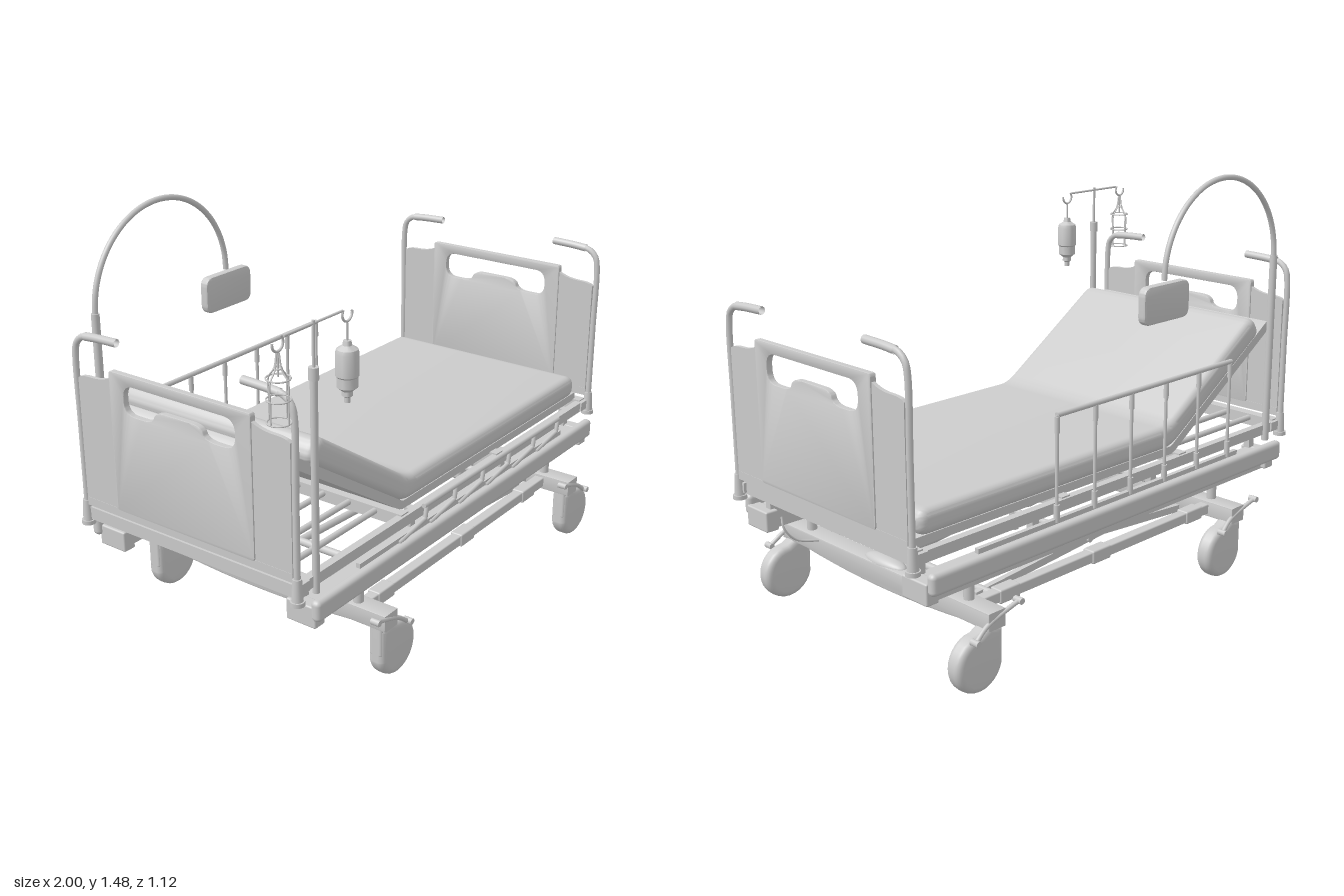
import * as THREE from 'three';
import { toCreasedNormals } from 'three/addons/utils/BufferGeometryUtils.js';
import { RoundedBoxGeometry } from 'three/addons/geometries/RoundedBoxGeometry.js';

const mat = new THREE.MeshStandardMaterial({ color: 0xcccccc, side: THREE.DoubleSide });
const V = (x, y, z) => new THREE.Vector3(x, y, z);

export function createModel() {
  const root = new THREE.Group();
  root.name = 'adjustableBed';

  const add = (name, geo, x = 0, y = 0, z = 0) => {
    const m = new THREE.Mesh(geo, mat);
    m.name = name;
    m.position.set(x, y, z);
    root.add(m);
    return m;
  };
  // Box given by its extents; r rounds the edges
  const box = (name, x0, x1, y0, y1, z0, z1, r = 0) => {
    const s = [x1 - x0, y1 - y0, z1 - z0];
    const g = r ? new RoundedBoxGeometry(...s, 3, r) : new THREE.BoxGeometry(...s);
    return add(name, g, (x0 + x1) / 2, (y0 + y1) / 2, (z0 + z1) / 2);
  };
  const cyl = (name, r, y0, y1, x, z, rTop = r) =>
    add(name, new THREE.CylinderGeometry(rTop, r, y1 - y0, 16), x, (y0 + y1) / 2, z);
  // Straight round rod between two points
  const rod = (name, a, b, r) => {
    const m = add(name, new THREE.CylinderGeometry(r, r, a.distanceTo(b), 10));
    m.position.copy(a).lerp(b, 0.5);
    m.quaternion.setFromUnitVectors(V(0, 1, 0), b.clone().sub(a).normalize());
    return m;
  };
  // Flat bar between two points of one z plane
  const bar = (name, a, b, h, d) => {
    const m = add(name, new THREE.BoxGeometry(a.distanceTo(b), h, d));
    m.position.copy(a).lerp(b, 0.5);
    m.rotation.z = Math.atan2(b.y - a.y, b.x - a.x);
    return m;
  };
  const tube = (name, pts, r, n = 32) =>
    add(name, new THREE.TubeGeometry(new THREE.CatmullRomCurve3(pts, false, 'centripetal'), n, r, 10));
  // Polygon with rounded corners
  const roundPoly = (pts, r, Type = THREE.Shape) => {
    const s = new Type();
    const P = pts.map(p => new THREE.Vector2(...p));
    P.forEach((p, i) => {
      const toward = q => q.clone().sub(p).setLength(Math.min(r, q.distanceTo(p) * 0.49)).add(p);
      const a = toward(P[(i + P.length - 1) % P.length]), b = toward(P[(i + 1) % P.length]);
      if (i) s.lineTo(a.x, a.y); else s.moveTo(a.x, a.y);
      s.quadraticCurveTo(p.x, p.y, b.x, b.y);
    });
    s.closePath();
    return s;
  };
  // Extrusion of total thickness t, centred on z
  const slab = (shape, t, bevel, seg = 2) => {
    const g = new THREE.ExtrudeGeometry(shape, { depth: t - 2 * bevel, bevelEnabled: bevel > 0,
      bevelSize: bevel, bevelThickness: bevel, bevelOffset: -bevel, bevelSegments: seg, curveSegments: 10 });
    g.translate(0, 0, bevel - t / 2);
    return toCreasedNormals(g, 0.6);
  };

  // Mattress and its platform, bent at the backrest hinge
  add('mattress', slab(roundPoly([[-0.28, 0.525], [0.91, 0.525], [0.91, 0.612], [-0.255, 0.612],
    [-0.742, 0.935], [-0.795, 0.86]], 0.045), 0.84, 0.03, 5));
  add('platform', slab(roundPoly([[-0.29, 0.5], [0.935, 0.5], [0.935, 0.53], [-0.28, 0.53],
    [-0.84, 0.897], [-0.865, 0.873]], 0.008), 0.82, 0));

  // Upper frame
  for (const [x0, x1] of [[-0.9, -0.86], [-0.33, -0.29], [0.28, 0.32], [0.92, 0.96]])
    box('frameCrossbar', x0, x1, 0.46, 0.505, -0.44, 0.44);
  for (let i = 0; i < 7; i++)
    rod('headSlat', V(-0.88, 0.49, -0.33 + i * 0.11), V(-0.3, 0.49, -0.33 + i * 0.11), 0.011);

  for (const s of [-1, 1]) {
    box('frameRail', -0.89, 0.94, 0.462, 0.5, s * 0.435 - 0.014, s * 0.435 + 0.014);
    box('sideBumper', -0.85, 0.93, 0.362, 0.435, s * 0.478 - 0.018, s * 0.478 + 0.018, 0.016);
    box('sideBeam', -0.83, 0.93, 0.327, 0.4, s * 0.415 - 0.035, s * 0.415 + 0.035);
    for (const x of [-0.81, 0.91])
      box('beamEndBlock', x - 0.025, x + 0.025, 0.328, 0.402, s * 0.412 - 0.058, s * 0.412 + 0.058, 0.006);
    for (const x of [-0.79, -0.2, 0.4, 0.89])
      box('framePost', x - 0.015, x + 0.015, 0.39, 0.47, s * 0.385 - 0.013, s * 0.385 + 0.013);
    box('guardTrack', -0.6, 0.72, 0.435, 0.452, s * 0.46 - 0.008, s * 0.46 + 0.008);
    tube('cable', [V(0.87, 0.37, s * 0.36), V(0.87, 0.33, s * 0.35), V(0.83, 0.28, s * 0.34), V(0.72, 0.25, s * 0.32)], 0.004);

    // Base rail with joint sleeves, and scissor lift
    box('baseRail', -0.55, 0.72, 0.217, 0.255, s * 0.41 - 0.02, s * 0.41 + 0.02, 0.005);
    for (const x of [-0.4, 0.11, 0.55])
      box('railSleeve', x - 0.045, x + 0.045, 0.212, 0.26, s * 0.41 - 0.025, s * 0.41 + 0.025, 0.006);
    bar('scissorLink', V(-0.42, 0.32, s * 0.36), V(0.64, 0.235, s * 0.36), 0.026, 0.02);
    bar('scissorLink', V(0.66, 0.32, s * 0.335), V(-0.42, 0.235, s * 0.335), 0.026, 0.02);
    for (const x of [-0.53, 0.71])
      cyl('liftPost', 0.018, 0.25, 0.34, x, s * 0.41);
  }
  rod('scissorAxle', V(0.11, 0.278, -0.38), V(0.11, 0.278, 0.38), 0.012);
  rod('lowerAxle', V(0.6, 0.24, -0.4), V(0.6, 0.24, 0.4), 0.014);
  rod('upperAxle', V(-0.4, 0.32, -0.4), V(-0.4, 0.32, 0.4), 0.014);
  rod('actuatorHousing', V(0.62, 0.25, 0.06), V(0.2, 0.29, 0.06), 0.03);
  rod('actuatorRod', V(0.2, 0.29, 0.06), V(-0.4, 0.32, 0.06), 0.014);
  box('actuatorMotor', 0.55, 0.66, 0.2, 0.27, 0.0, 0.12, 0.015);
  cyl('pivotHub', 0.018, 0.21, 0.3, 0.11, 0);

  // Base beams with bowed underside, and casters with brake pedals
  const beam = new THREE.Shape();
  beam.moveTo(-0.54, 0.265);
  beam.lineTo(-0.54, 0.205);
  beam.lineTo(-0.4, 0.205);
  beam.quadraticCurveTo(0, 0.165, 0.4, 0.205);
  beam.lineTo(0.54, 0.205);
  beam.lineTo(0.54, 0.265);
  const caster = new THREE.Shape();
  caster.moveTo(-0.095, 0.1);
  caster.lineTo(-0.095, -0.02);
  caster.absarc(0, 0, 0.098, Math.PI * 1.08, Math.PI * 2.5, false);
  caster.lineTo(-0.04, 0.12);
  for (const x of [-0.465, 0.77]) {
    add('baseBeam', slab(beam, 0.075, 0.006), x - 0.06, 0, 0).rotation.y = Math.PI / 2;
    const hump = add('beamCap', new THREE.SphereGeometry(1, 24, 10, 0, Math.PI * 2, 0, Math.PI / 2), x - 0.06, 0.262, 0);
    hump.scale.set(0.036, 0.026, 0.1);
    for (const s of [-1, 1]) {
      add('caster', slab(caster, 0.064, 0.022, 4), x, 0.1, s * 0.5);
      box('casterStem', x - 0.095, x - 0.035, 0.1, 0.262, s * 0.5 - 0.025, s * 0.5 + 0.025, 0.01);
      tube('brakePedal', [V(x - 0.155, 0.275, s * 0.545), V(x - 0.12, 0.262, s * 0.54),
        V(x - 0.02, 0.225, s * 0.535), V(x + 0.035, 0.187, s * 0.54)], 0.008);
      for (const [dx, y] of [[-0.15, 0.273], [0.035, 0.19]])
        rod('pedalPad', V(x + dx, y, s * 0.525), V(x + dx, y, s * 0.558), 0.011);
    }
  }

  // Head and foot boards: slotted centre panel, shouldered wings, posts with bent handles
  const panel = roundPoly([[-0.295, 0.54], [0.295, 0.54], [0.295, 1.03], [-0.295, 1.03]], 0.012);
  panel.holes.push(roundPoly([[-0.232, 0.895], [-0.11, 0.895], [-0.095, 0.938], [0.095, 0.938], [0.11, 0.895],
    [0.232, 0.895], [0.232, 0.995], [-0.232, 0.995]], 0.045, THREE.Path));
  const wing = new THREE.Shape();
  wing.moveTo(0.28, 0.515);
  wing.lineTo(0.44, 0.515);
  wing.lineTo(0.44, 0.972);
  wing.quadraticCurveTo(0.43, 0.985, 0.38, 0.985);
  wing.quadraticCurveTo(0.32, 0.985, 0.28, 1.012);
  for (const x of [-0.897, 0.97]) {
    add('boardPanel', slab(panel, 0.024, 0.004), x).rotation.y = Math.PI / 2;
    box('boardSill', x - 0.008, x + 0.008, 0.515, 0.545, -0.44, 0.44);
    for (const s of [-1, 1]) {
      add('boardWing', slab(wing, 0.014, 0), x).rotation.y = -s * Math.PI / 2;
      tube('boardPost', [V(x, 0.44, s * 0.452), V(x, 0.8, s * 0.452), V(x, 1.05, s * 0.452), V(x, 1.09, s * 0.443),
        V(x, 1.115, s * 0.415), V(x, 1.122, s * 0.37), V(x, 1.126, s * 0.26)], 0.011, 48);
      tube('handleGrip', [V(x, 1.119, s * 0.4), V(x, 1.123, s * 0.35), V(x, 1.126, s * 0.26)], 0.014);
      cyl('postSocket', 0.024, 0.44, 0.455, x, s * 0.452);
      cyl('postSocket', 0.019, 0.455, 0.53, x, s * 0.452, 0.015);
      const inner = x < 0 ? 1 : -1;
      box('boardBracket', x + inner * 0.03 - 0.03, x + inner * 0.03 + 0.03, 0.465, 0.5, s * 0.44 - 0.015, s * 0.44 + 0.015);
    }
  }

  // Raised guard at the back
  const step = 0.182;
  rod('raisedGuardRail', V(-0.545, 0.805, -0.465), V(0.372, 0.805, -0.465), 0.009);
  for (let i = 0; i < 6; i++) {
    const x = -0.54 + i * step;
    cyl('raisedGuardBar', 0.006, 0.44, 0.805, x, -0.465);
    cyl('raisedGuardSleeve', 0.009, 0.745, 0.8, x, -0.465);
    cyl('raisedGuardFoot', 0.01, 0.44, 0.5, x, -0.465);
  }
  // Folded guard at the front
  rod('foldedGuardRail', V(-0.24, 0.512, 0.468), V(0.69, 0.512, 0.468), 0.009);
  for (let i = 0; i < 6; i++) {
    const x = -0.22 + i * step;
    rod('foldedGuardBar', V(x - 0.165, 0.435, 0.468), V(x - 0.01, 0.462, 0.468), 0.008);
    rod('foldedGuardHinge', V(x - 0.01, 0.462, 0.468), V(x, 0.512, 0.468), 0.008);
  }

  // Lifting pole with arch and hand grip
  cyl('liftingPole', 0.014, 0.44, 1.16, -0.803, -0.45);
  const arch = [V(-0.803, 1.1, -0.45)];
  for (let i = 0; i <= 16; i++) {
    const a = Math.PI * (1 - i / 16);
    arch.push(V(-0.485 + 0.318 * Math.cos(a), 1.158 + 0.318 * Math.sin(a), -0.45));
  }
  tube('liftingArch', arch, 0.01, 64);
  add('handGrip', slab(roundPoly([[-0.288, 1.017], [-0.05, 1.017], [-0.05, 1.15], [-0.288, 1.15]], 0.035), 0.034, 0.008), 0, 0, -0.45);

  // Infusion stand: pole, crossbar and hooks
  cyl('infusionPole', 0.012, 0.44, 1.16, -0.803, 0.45);
  cyl('infusionRod', 0.005, 1.16, 1.322, -0.803, 0.45);
  cyl('poleCollar', 0.016, 1.14, 1.18, -0.803, 0.45);
  rod('infusionCrossbar', V(-0.935, 1.312, 0.45), V(-0.665, 1.312, 0.45), 0.004);
  for (const [x, s] of [[-0.962, 1], [-0.642, -1]]) {
    const hook = add('bagHook', new THREE.TorusGeometry(0.024, 0.004, 8, 24, Math.PI * 1.25), x, 1.298, 0.45);
    hook.rotation.z = Math.PI * (s > 0 ? 0.95 : 0.8);
    rod('hangingLoop', V(x, 1.2, 0.45), V(x, 1.274, 0.45), 0.003);
  }
  const lathe = pts => toCreasedNormals(new THREE.LatheGeometry(pts.map(p => new THREE.Vector2(...p)), 24), 0.6);
  add('filledBottle', lathe([[0, 1.018], [0.01, 1.018], [0.01, 1.035], [0.017, 1.04], [0.017, 1.055], [0.033, 1.068],
    [0.033, 1.1], [0.037, 1.105], [0.037, 1.175], [0.033, 1.188], [0.015, 1.2], [0.012, 1.215], [0, 1.215]]), -0.642, 0, 0.45);

  // Open wire bottle
  for (const [y, r] of [[1.062, 0.036], [1.132, 0.036], [1.195, 0.036], [1.225, 0.012]])
    add('wireRing', new THREE.TorusGeometry(r, 0.0025, 6, 24), -0.962, y, 0.45).rotation.x = Math.PI / 2;
  for (let i = 0; i < 4; i++) {
    const c = Math.cos(i * Math.PI / 2), s = Math.sin(i * Math.PI / 2);
    const at = (r, y) => V(-0.962 + r * c, y, 0.45 + r * s);
    tube('wireSide', [at(0.036, 1.062), at(0.036, 1.13), at(0.036, 1.19), at(0.014, 1.222), at(0.005, 1.27)], 0.0025, 20);
  }
  return root;
}
